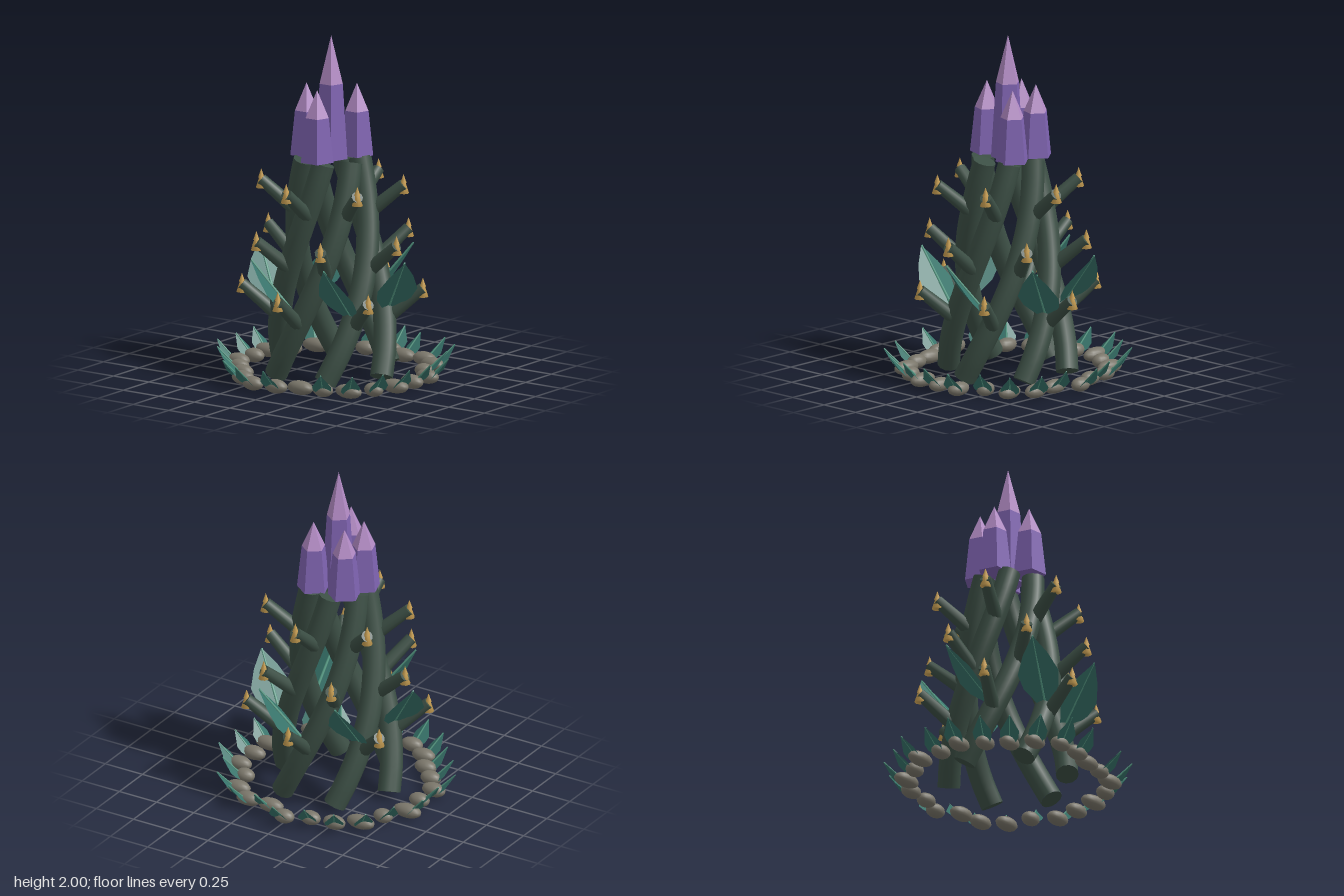
import * as THREE from 'three';

const mat = (name, color, opts = {}) => {
  const m = new THREE.MeshStandardMaterial({ color, ...opts });
  m.name = name;
  return m;
};
const rad = THREE.MathUtils.degToRad;
// point at a compass angle in the ground plane (0 = +x, 90 = +z)
const polar = (deg, r, y) => new THREE.Vector3(r * Math.cos(rad(deg)), y, r * Math.sin(rad(deg)));

export function createModel() {
  const model = new THREE.Group();
  const bark = mat('bark', 0x3c4f45);
  const crystalBody = mat('crystal purple', 0x8064b2, { flatShading: true });
  const crystalTip = mat('crystal pink', 0xb48cc6, { flatShading: true });
  const leafGreen = mat('leaf green', 0x37736a, { flatShading: true, side: THREE.DoubleSide });
  const ribGreen = mat('rib green', 0x569a84);
  const stoneGrey = mat('stone grey', 0x7a766a);
  const gold = mat('gold', 0xcba154);

  const add = (parent, name, geometry, material) => {
    const mesh = new THREE.Mesh(geometry, material);
    mesh.name = name;
    parent.add(mesh);
    return mesh;
  };
  const group = (name) => {
    const g = new THREE.Group();
    g.name = name;
    model.add(g);
    return g;
  };
  // cylinder running between two points
  const rod = (parent, name, a, b, r0, r1, sides, material) => {
    const dir = b.clone().sub(a);
    const mesh = add(parent, name, new THREE.CylinderGeometry(r1, r0, dir.length(), sides), material);
    mesh.position.copy(a).add(b).multiplyScalar(0.5);
    mesh.quaternion.setFromUnitVectors(new THREE.Vector3(0, 1, 0), dir.normalize());
    return mesh;
  };

  // Six stems winding inwards as they rise
  const stems = group('stems');
  const R = 0.066;
  for (let k = 0; k < 6; k++) {
    const pts = [];
    for (let i = 0; i <= 10; i++) {
      const t = i / 10;
      pts.push(polar(60 * k + 1 - 108 * t, 0.35 - 0.19 * t, 0.045 + 1.235 * t));
    }
    const curve = new THREE.CatmullRomCurve3(pts);
    add(stems, 'stem', new THREE.TubeGeometry(curve, 28, R, 12), bark);
    [0, 1].forEach((t) => {
      const cap = add(stems, 'stemEnd', new THREE.CircleGeometry(R, 12), bark);
      cap.position.copy(curve.getPointAt(t));
      cap.lookAt(cap.position.clone().addScaledVector(curve.getTangentAt(t), t ? 1 : -1));
    });
  }

  // Crystals: [x, z, base, shoulder, tip]
  const crystals = group('crystals');
  [
    [-0.005, 0.005, 1.28, 1.72, 2.0],
    [-0.153, 0.04, 1.29, 1.55, 1.71],
    [-0.115, -0.11, 1.29, 1.55, 1.71],
    [0.086, -0.12, 1.29, 1.55, 1.71],
    [0.008, 0.16, 1.29, 1.55, 1.71],
  ].forEach(([x, z, y0, y1, y2]) => {
    const body = add(crystals, 'crystalBody', new THREE.CylinderGeometry(0.07, 0.098, y1 - y0, 5), crystalBody);
    body.position.set(x, (y0 + y1) / 2, z);
    const tip = add(crystals, 'crystalTip', new THREE.ConeGeometry(0.07, y2 - y1, 5), crystalTip);
    tip.position.set(x, (y1 + y2) / 2, z);
    body.rotation.y = tip.rotation.y = Math.PI;
  });

  // Three tiers of six side branches, each with a gold bud: [start angle, tip radius, tip height]
  const branches = group('branches');
  const bud = new THREE.LatheGeometry(
    [[0, -0.05], [0.032, -0.05], [0.013, 0.008], [0.018, 0.01], [0, 0.062]].map((p) => new THREE.Vector2(...p)), 8);
  [[31, 0.52, 0.53], [2.6, 0.467, 0.83], [34, 0.412, 1.14]].forEach(([start, r, y]) => {
    for (let k = 0; k < 6; k++) {
      const a = start + 60 * k;
      rod(branches, 'branch', polar(a, r - 0.2, y - 0.17), polar(a, r, y), 0.042, 0.034, 10, bark);
      add(branches, 'bud', bud, gold).position.copy(polar(a, r, y));
    }
  });

  // Folded leaf from base to tip; stations are [position along leaf, half width]
  const leaf = (parent, name, base, tip, stations, fold, ribR) => {
    const axis = tip.clone().sub(base);
    const side = new THREE.Vector3(axis.z, 0, -axis.x).normalize();
    const up = axis.clone().cross(side).normalize();
    if (up.y < 0) up.negate();
    const pos = [], index = [];
    stations.forEach(([t, w], i) => {
      const mid = base.clone().addScaledVector(axis, t);
      [-1, 0, 1].forEach((s) => {
        const p = mid.clone().addScaledVector(side, s * w).addScaledVector(up, -Math.abs(s) * w * fold);
        pos.push(p.x, p.y, p.z);
      });
      if (i) {
        for (let j = 0; j < 2; j++) {
          const a = (i - 1) * 3 + j, b = i * 3 + j;
          index.push(a, a + 1, b, b, a + 1, b + 1);
        }
      }
    });
    const g = new THREE.BufferGeometry();
    g.setAttribute('position', new THREE.Float32BufferAttribute(pos, 3));
    g.setIndex(index);
    g.computeVertexNormals();
    add(parent, name, g, leafGreen);
    const rib = rod(parent, name + 'Rib', base, tip, ribR, ribR * 0.6, 6, ribGreen);
    rib.position.addScaledVector(up, ribR * 0.4);
  };

  // Six large leaves, swept sideways around the stems
  const bigLeaves = group('largeLeaves');
  for (let k = 0; k < 6; k++) {
    leaf(bigLeaves, 'largeLeaf', polar(60 * k - 27, 0.32, 0.4), polar(60 * k, 0.51, 0.73),
      [[0, 0.025], [0.3, 0.105], [0.5, 0.122], [0.75, 0.075], [1, 0.002]], 0.2, 0.009);
  }

  // Ring of stones, every 15 degrees: distance from the centre and half width
  const ring = group('stoneRing');
  const dist = [0.56, 0.567, 0.577, 0.58, 0.537, 0.513, 0.55, 0.585, 0.558, 0.517, 0.533, 0.574,
    0.55, 0.583, 0.553, 0.58, 0.57, 0.535, 0.578, 0.52, 0.577, 0.58, 0.527, 0.58];
  const width = [0.075, 0.09, 0.06, 0.088, 0.065, 0.086, 0.075, 0.068, 0.074, 0.07, 0.065, 0.075,
    0.065, 0.09, 0.06, 0.09, 0.07, 0.065, 0.064, 0.082, 0.077, 0.078, 0.06, 0.075];
  const ball = new THREE.SphereGeometry(1, 14, 10);
  dist.forEach((r, k) => {
    const stone = add(ring, 'stone', ball, stoneGrey);
    stone.position.copy(polar(15 * k, r, 0.046));
    stone.scale.set(width[k], 0.041, 0.046);
    // small leaf leaning out over the stone
    if (k !== 5) {
      leaf(ring, 'smallLeaf', polar(15 * k, r + 0.01, 0.035), polar(15 * k, r + 0.13, 0.157),
        [[0, 0.03], [0.25, 0.052], [0.48, 0.054], [1, 0.002]], 0.3, 0.006);
    }
  });

  return model;
}
